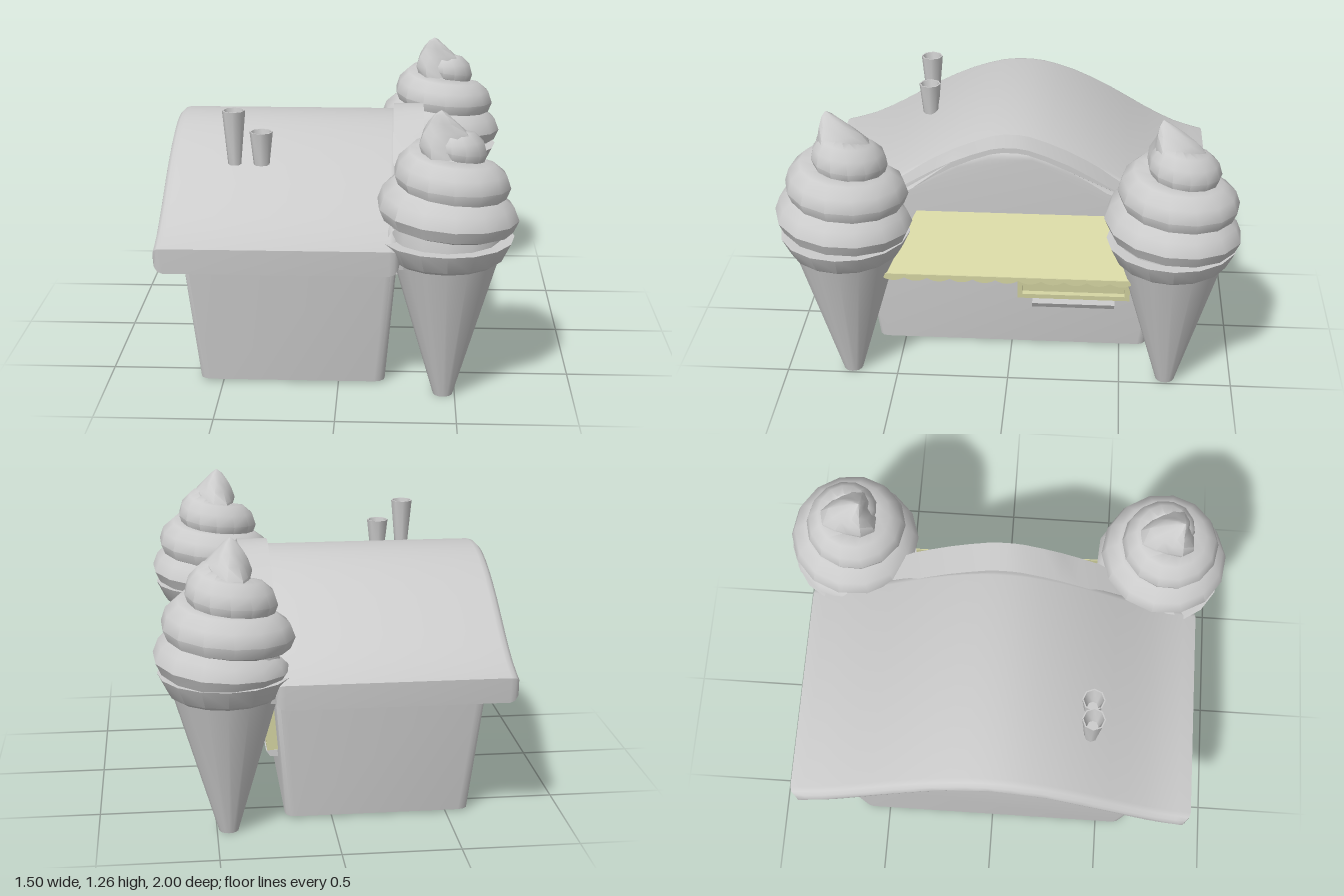
import * as THREE from 'three';
import { toCreasedNormals } from 'three/addons/utils/BufferGeometryUtils.js';

const grey = new THREE.MeshStandardMaterial({ color: 0xcccccc, side: THREE.DoubleSide });
const cream = new THREE.MeshStandardMaterial({ color: 0xd2d2a0, side: THREE.DoubleSide });

function add(parent, name, geometry, material = grey) {
  const mesh = new THREE.Mesh(geometry, material);
  mesh.name = name;
  parent.add(mesh);
  return mesh;
}

const points = (pts) => pts.map((q) => new THREE.Vector2(...q));
const lathe = (pts, sides) => new THREE.LatheGeometry(points(pts), sides);

// Moves every vertex by a rule, then rebuilds creased normals
function reshape(geometry, rule, crease = 0.6) {
  const p = geometry.attributes.position, v = new THREE.Vector3();
  for (let i = 0; i < p.count; i++) {
    rule(v.fromBufferAttribute(p, i));
    p.setXYZ(i, v.x, v.y, v.z);
  }
  return toCreasedNormals(geometry, crease);
}

// Extrudes a side outline (z, y) along x between two positions
function extrudeX(shape, x0, x1, bevel = 0) {
  return new THREE.ExtrudeGeometry(shape, {
    depth: x1 - x0 - 2 * bevel, curveSegments: 6, bevelEnabled: bevel > 0,
    bevelThickness: bevel, bevelSize: bevel, bevelOffset: -bevel, bevelSegments: 3,
  }).rotateY(Math.PI / 2).translate(x0 + bevel, 0, 0);
}

// Symmetric curved band between an outer and an inner half-curve
function bandShape(outer, inner) {
  const half = (pts) => new THREE.SplineCurve(points(pts)).getPoints(12);
  const mirror = (pts) => pts.map((q) => new THREE.Vector2(-q.x, q.y));
  const top = half(outer), low = half(inner);
  return new THREE.Shape([...mirror(top).reverse(), ...top.slice(1), ...[...low].reverse(), ...mirror(low).slice(1)]);
}

// Row of hanging scallops, facing +x
function valance(width, count, height, x, y, z) {
  const s = new THREE.Shape(), w = width / count;
  s.moveTo(-width / 2, height * 0.6);
  s.lineTo(-width / 2, 0);
  for (let i = 0; i < count; i++) {
    const a = -width / 2 + i * w;
    s.quadraticCurveTo(a + w / 2, -height * 1.2, a + w, 0);
  }
  s.lineTo(width / 2, height * 0.6);
  return extrudeX(s, 0, 0.012).translate(x, y, z);
}

// Sloping slab that widens toward its front edge
function awningSlab(back, front, run, drop, x, y, z) {
  const s = new THREE.Shape(points([[-back, 0], [-front, -1], [front, -1], [back, 0]]));
  const g = new THREE.ExtrudeGeometry(s, { depth: 0.015, bevelEnabled: false });
  return reshape(g, (v) => v.set(x - v.y * run, y + v.y * drop + v.z, z - v.x));
}

// Soft-serve coil: a fat tube climbing a shrinking helix, tapered at both ends
function coilGeometry() {
  const perTurn = 14, sides = 10, n = 41, pos = [], idx = [];
  for (let i = 0; i <= n; i++) {
    const u = i / n, a = -Math.PI * 1.1 + (i / perTurn) * Math.PI * 2;
    const taper = Math.min(1, (i + 1) / 6, (n - i + 1) / 5);
    const outer = (0.292 + 0.09 * u - 0.275 * u * u) * (0.85 + 0.15 * taper);
    const rt = (0.13 - 0.06 * u) * taper, ry = (0.095 - 0.015 * u) * taper;
    for (let j = 0; j < sides; j++) {
      const b = (j / sides) * Math.PI * 2;
      const r = outer - rt + rt * Math.cos(b);
      // the outer edge droops below the inner one
      pos.push(r * Math.cos(a), 0.735 + 0.4 * u + ry * Math.sin(b) - 0.02 * Math.cos(b), r * Math.sin(a));
      if (i < n) {
        const k = i * sides + j, l = i * sides + ((j + 1) % sides);
        idx.push(k, l, k + sides, l, l + sides, k + sides);
      }
    }
  }
  const g = new THREE.BufferGeometry();
  g.setAttribute('position', new THREE.Float32BufferAttribute(pos, 3));
  g.setIndex(idx);
  return toCreasedNormals(g, 0.75);
}

function makeCone() {
  const cone = new THREE.Group();
  cone.name = 'iceCreamCone';
  add(cone, 'wafer', toCreasedNormals(lathe([[0, 0], [0.042, 0], [0.222, 0.62], [0.243, 0.635],
    [0.282, 0.715], [0.25, 0.715], [0, 0.7]], 16), 0.5));
  add(cone, 'swirl', coilGeometry());
  add(cone, 'swirlCore', lathe([[0.23, 0.7], [0.22, 0.85], [0.14, 1.02], [0.06, 1.12], [0, 1.14]], 14));
  // Folded, leaning peak
  const tip = lathe([[0.12, 1.07], [0.115, 1.12], [0.085, 1.17], [0.055, 1.21], [0.025, 1.245], [0, 1.263]], 12);
  add(cone, 'peak', reshape(tip, (v) => {
    const h = (v.y - 1.07) / 0.19, a = Math.atan2(v.z, v.x);
    const fold = 1 + 0.16 * Math.cos(3 * a - 3 * h);
    v.set(v.x * fold - 0.03 * h, v.y, v.z * fold + 0.06 * h * h);
  }, 0.7));
  return cone;
}

export function createModel() {
  const model = new THREE.Group();

  // Walls: gabled outline flaring outward with height
  const walls = new THREE.Shape(points([[-0.625, -0.08], [0.625, -0.08], [0.7, 0.64], [0.6, 0.78], [0.42, 0.895],
    [0.25, 0.985], [0.1, 1.035], [-0.1, 1.035], [-0.25, 0.985], [-0.42, 0.895], [-0.6, 0.78], [-0.7, 0.64]]));
  add(model, 'walls', reshape(extrudeX(walls, -0.6, 0.2, 0.045), (v) => {
    v.y = Math.max(v.y, 0.008);
    v.x += (v.x > -0.2 ? 0.085 : -0.1) * v.y;
  }));

  // Main curved roof with soft eaves
  const roof = bandShape(
    [[0, 1.053], [0.1, 1.045], [0.25, 1.0], [0.42, 0.92], [0.6, 0.815], [0.75, 0.74], [0.885, 0.7]],
    [[0, 0.96], [0.2, 0.92], [0.4, 0.82], [0.55, 0.73], [0.72, 0.635], [0.875, 0.59]]);
  add(model, 'roof', toCreasedNormals(extrudeX(roof, -0.75, 0.26, 0.042), 0.9));

  // Raised front hood, deepest at the middle
  const hood = bandShape(
    [[0, 1.083], [0.08, 1.075], [0.25, 1.01], [0.42, 0.915], [0.6, 0.8], [0.74, 0.72], [0.84, 0.67]],
    [[0, 1.06], [0.08, 1.052], [0.25, 0.983], [0.42, 0.88], [0.6, 0.75], [0.74, 0.655], [0.83, 0.605]]);
  add(model, 'frontHood', reshape(extrudeX(hood, 0.225, 0.36), (v) => {
    if (v.x > 0.3) v.x -= 0.06 * THREE.MathUtils.smoothstep(Math.abs(v.z), 0.42, 0.7);
  }));

  // Chimneys: flared and hollow
  for (const [x, top, r] of [[-0.453, 1.163, 0.028], [-0.337, 1.07, 0.034]]) {
    const g = lathe([[0, 0.925], [r, 0.925], [0.05, top], [0.044, top], [0.024, top - 0.1], [0, top - 0.1]], 8);
    add(model, 'chimney', toCreasedNormals(g, 0.9)).position.set(x, 0, 0.42);
  }

  // Awning
  add(model, 'awning', awningSlab(0.42, 0.545, 0.28, 0.165, 0.26, 0.7, 0), cream);
  add(model, 'awningScallops', valance(1.09, 11, 0.026, 0.53, 0.536, 0), cream);

  // Serving window, leaning with the wall
  const serving = new THREE.Group();
  serving.name = 'servingWindow';
  serving.position.set(0.236, 0.4, -0.285);
  serving.rotation.z = -0.085;
  model.add(serving);
  const rect = (Type, w, h) => new Type(points([[-w, -h], [w, -h], [w, h], [-w, h]]));
  const frame = rect(THREE.Shape, 0.255, 0.112);
  frame.holes.push(rect(THREE.Path, 0.232, 0.09));
  add(serving, 'windowFrame', extrudeX(frame, -0.02, 0.045), cream);
  add(serving, 'windowPane', new THREE.BoxGeometry(0.04, 0.2, 0.48), cream);
  add(model, 'windowAwning', awningSlab(0.24, 0.245, 0.08, 0.035, 0.245, 0.525, -0.285), cream);
  add(model, 'windowScallops', valance(0.49, 10, 0.024, 0.315, 0.488, -0.285), cream);

  // Counter shelf below the window
  const shelf = new THREE.Shape(points([[0.2, 0.23], [0.255, 0.23], [0.272, 0.258], [0.2, 0.258]]));
  add(model, 'shelf', new THREE.ExtrudeGeometry(shelf, { depth: 0.375, bevelEnabled: false }))
    .position.z = -0.472;

  // Giant cones at both front corners
  for (const z of [-0.707, 0.707]) {
    const cone = makeCone();
    cone.position.set(0.45, 0, z);
    model.add(cone);
  }
  return model;
}
